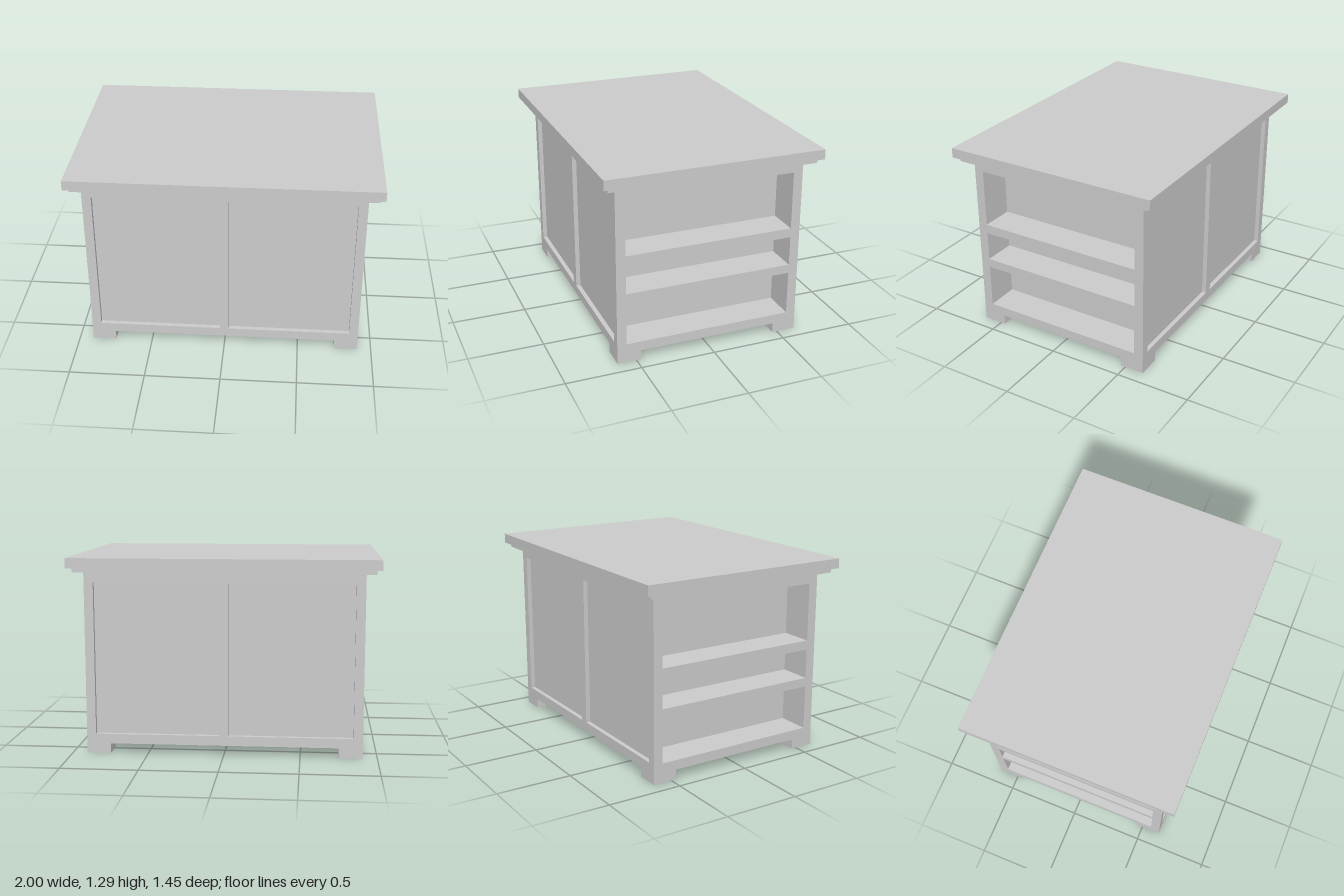
import * as THREE from 'three';

const BODY = { x: 0.905, z: 0.628, bottom: 0.066, top: 1.2 };
const PANEL_RECESS = 0.03;
const SHELF_DEPTH = 0.22;

function rectPoints(x0, y0, x1, y1) {
  return [[x0, y0], [x1, y0], [x1, y1], [x0, y1]].map(([x, y]) => new THREE.Vector2(x, y));
}

// Upright board of the given half width, pierced by rectangular openings
function piercedBoard(halfWidth, openings, depth) {
  const shape = new THREE.Shape(rectPoints(-halfWidth, BODY.bottom, halfWidth, BODY.top));
  for (const o of openings) shape.holes.push(new THREE.Path(rectPoints(...o).reverse()));
  return new THREE.ExtrudeGeometry(shape, { depth, bevelEnabled: false });
}

export function createModel() {
  const group = new THREE.Group();
  const material = new THREE.MeshStandardMaterial({ color: 0xcccccc, flatShading: true });

  const add = (name, geometry, x = 0, y = 0, z = 0) => {
    const mesh = new THREE.Mesh(geometry, material);
    mesh.name = name;
    mesh.position.set(x, y, z);
    group.add(mesh);
    return mesh;
  };
  const slab = (name, halfX, halfZ, y0, y1) =>
    add(name, new THREE.BoxGeometry(2 * halfX, y1 - y0, 2 * halfZ), 0, (y0 + y1) / 2, 0);

  // Worktop and the moulding beneath it
  slab('worktop', 1, 0.725, 1.23, 1.295);
  slab('topMoulding', 0.967, 0.69, BODY.top, 1.23);

  // Closed core: the backs of the shelves and the recessed panels
  const innerZ = BODY.z - PANEL_RECESS;
  const innerX = BODY.x - SHELF_DEPTH;
  slab('core', innerX, innerZ, BODY.bottom, BODY.top);

  // Framed double panels on front and back, open shelves on both ends
  const panels = [[-0.845, 0.13, -0.03, 1.13], [0.03, 0.13, 0.845, 1.13]];
  const shelves = [[0.13, 0.425], [0.485, 0.682], [0.745, 1.13]]
    .map(([y0, y1]) => [-0.565, y0, 0.565, y1]);
  const panelFrame = piercedBoard(BODY.x, panels, PANEL_RECESS);
  const shelfUnit = piercedBoard(innerZ, shelves, SHELF_DEPTH);
  // Solid backing so the panels run the full width of the cabinet
  for (const s of [1, -1]) {
    add(s > 0 ? 'frontPanelFrame' : 'backPanelFrame', panelFrame, 0, 0, s * innerZ)
      .rotation.y = s > 0 ? 0 : Math.PI;
    add(s > 0 ? 'leftShelves' : 'rightShelves', shelfUnit, s * innerX, 0, 0)
      .rotation.y = s * Math.PI / 2;
  }

  // Four corner feet flush with the body
  const footX = 0.157, footZ = 0.16;
  const foot = new THREE.BoxGeometry(footX, BODY.bottom, footZ);
  for (const sx of [1, -1]) {
    for (const sz of [1, -1]) {
      add(`${sz > 0 ? 'front' : 'back'}${sx > 0 ? 'Left' : 'Right'}Foot`, foot,
        sx * (BODY.x - footX / 2), BODY.bottom / 2, sz * (BODY.z - footZ / 2));
    }
  }
  return group;
}
